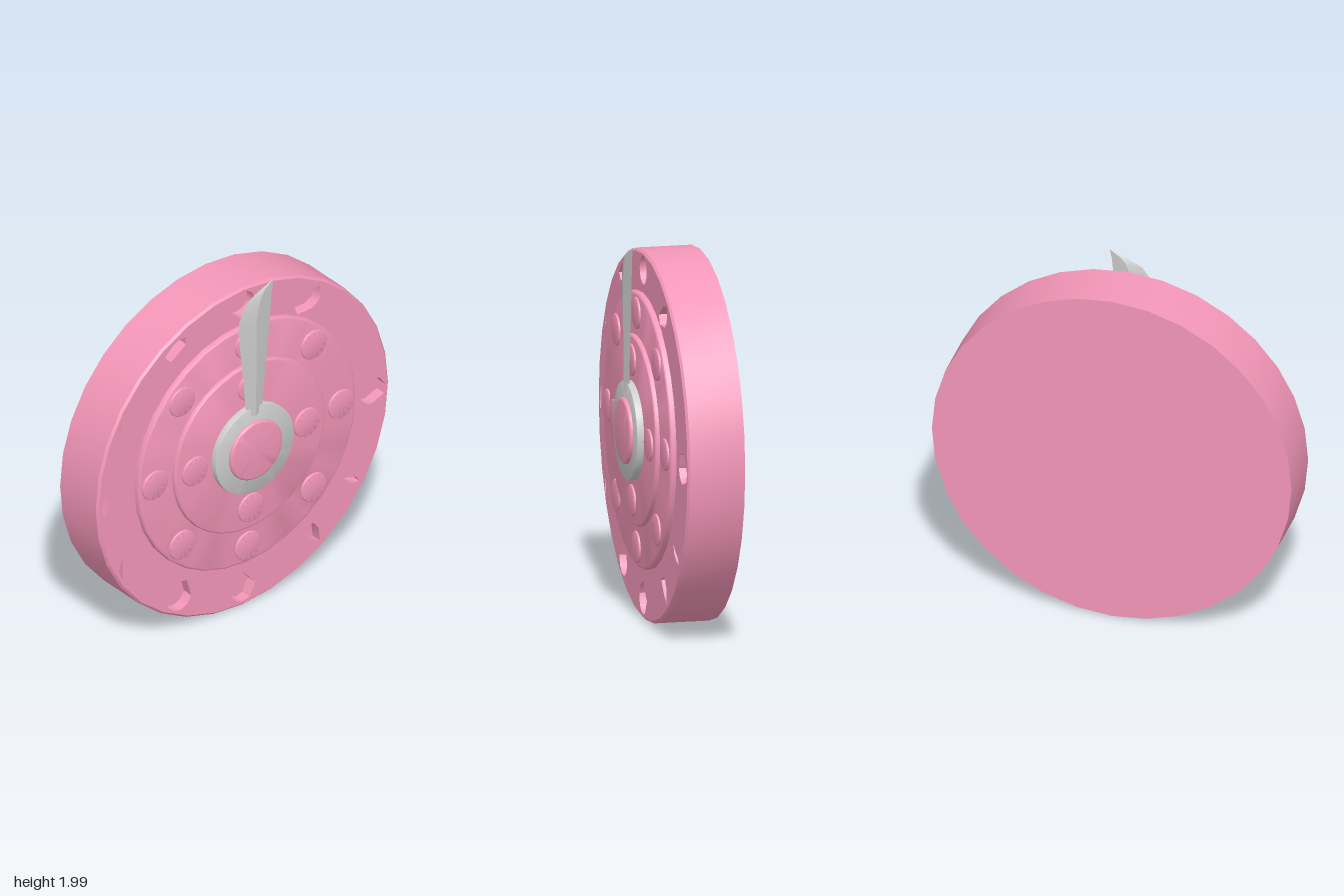
import * as THREE from 'three';
import { toCreasedNormals } from 'three/addons/utils/BufferGeometryUtils.js';

const pink = new THREE.MeshStandardMaterial({ color: 0xf396b7 });
const grey = new THREE.MeshStandardMaterial({ color: 0xcccccc });
const HUB_Y = 1.01;

function add(parent, name, geometry, material) {
  const mesh = new THREE.Mesh(geometry, material);
  mesh.name = name;
  parent.add(mesh);
  return mesh;
}

// Disc facing +z with a rounded front rim
function disc(r, back, front, bevel, segments) {
  const pts = [new THREE.Vector2(0, back), new THREE.Vector2(r, back)];
  for (let i = 0; i <= 4; i++) {
    const a = (i / 4) * Math.PI / 2;
    pts.push(new THREE.Vector2(r - bevel + bevel * Math.cos(a), front - bevel + bevel * Math.sin(a)));
  }
  pts.push(new THREE.Vector2(0, front));
  return toCreasedNormals(new THREE.LatheGeometry(pts, segments).rotateX(Math.PI / 2), 0.6);
}

function circlePoints(x, y, r, n) {
  return Array.from({ length: n }, (_, i) => {
    const a = (i / n) * Math.PI * 2;
    return new THREE.Vector2(x + r * Math.cos(a), y + r * Math.sin(a));
  });
}

// Outlines of the cut-away pits around the rim
const pits = [
  [[-.52, 1.73], [-.48, 1.69], [-.44, 1.715], [-.38, 1.76], [-.385, 1.80], [-.42, 1.805], [-.47, 1.78]],
  [[.34, 1.69], [.36, 1.64], [.46, 1.645], [.50, 1.67], [.515, 1.71], [.51, 1.76], [.44, 1.755]],
  [[.77, .97], [.79, .93], [.82, .905], [.855, .90], [.935, .93], [.945, .98], [.91, 1.03], [.855, 1.065], [.80, 1.045], [.78, .99]],
  [[.65, .545], [.67, .50], [.72, .465], [.77, .46], [.75, .49], [.70, .51]],
  [[.39, .30], [.42, .32], [.465, .325], [.50, .28], [.51, .20], [.46, .225]],
  [[0, .21], [-.06, .18], [-.085, .13], [-.07, .07], [-.04, .045], [0, .035], [.04, .045], [.08, .12]],
  [[-.515, .24], [-.50, .19], [-.46, .155], [-.41, .15], [-.37, .17], [-.345, .21], [-.375, .315], [-.43, .325], [-.48, .31]],
  [[-.825, .55], [-.815, .51], [-.80, .49], [-.80, .61], [-.815, .59]],
  [[-.94, .96], [-.92, .915], [-.90, .97], [-.885, 1.05], [-.92, 1.04]],
  [[-.827, 1.40], [-.815, 1.39], [-.81, 1.455], [-.82, 1.44]],
].map(p => p.map(([x, y]) => new THREE.Vector2(x, y)));
pits.push(circlePoints(0, 1.85, 0.075, 16));

function buildBody(group) {
  const R = 0.97, Y = 0.978, floor = 0.035, front = 0.095;
  const body = new THREE.Group();
  body.name = 'body';
  group.add(body);

  // Back, side and front bevel
  const profile = [[0, -.208], [R, -.208], [R, front - .012], [R - .012, front]]
    .map(([x, y]) => new THREE.Vector2(x, y));
  const shell = new THREE.LatheGeometry(profile, 32).rotateX(Math.PI / 2);
  add(body, 'bodyShell', toCreasedNormals(shell, 0.5), pink).position.y = Y;

  // Front plate pierced by the pits
  const plate = new THREE.Shape(circlePoints(0, Y, R - .012, 32));
  plate.holes = pits.map(p => new THREE.Path(p));
  const plateGeo = new THREE.ExtrudeGeometry(plate, { depth: front - floor, bevelEnabled: false });
  add(body, 'frontPlate', toCreasedNormals(plateGeo, 0.7), pink).position.z = floor;

  // Floor of the pits
  add(body, 'pitFloor', new THREE.CircleGeometry(R - .02, 32), pink).position.set(0, Y, floor);
}

// Flat blade with a central ridge, built from four-point cross-sections
function bladeGeometry() {
  const Z = 0.183;
  // left x, left y, right x, right y, half thickness
  const rows = [
    [-.048, 1.22, .05, 1.22, .014], [-.055, 1.27, .055, 1.27, .015], [-.08, 1.53, .083, 1.53, .018],
    [-.105, 1.76, .106, 1.78, .02], [-.10, 1.81, .11, 1.83, .02], [-.08, 1.87, .115, 1.89, .018],
    [-.045, 1.92, .12, 1.94, .014], [.01, 1.95, .126, 1.975, .008], [.13, 2, .131, 2, .001],
  ];
  const pos = [], index = [];
  for (const [lx, ly, rx, ry, t] of rows) {
    const mx = (lx + rx) / 2, my = (ly + ry) / 2;
    pos.push(lx, ly, Z, mx, my, Z + t, rx, ry, Z, mx, my, Z - t);
  }
  for (let i = 0; i < rows.length - 1; i++) {
    for (let j = 0; j < 4; j++) {
      const a = i * 4 + j, b = i * 4 + (j + 1) % 4;
      index.push(a, b, b + 4, a, b + 4, a + 4);
    }
  }
  index.push(0, 2, 1, 0, 3, 2);
  const geo = new THREE.BufferGeometry();
  geo.setAttribute('position', new THREE.Float32BufferAttribute(pos, 3));
  geo.setIndex(index);
  return toCreasedNormals(geo, 0.25);
}

export function createModel() {
  const group = new THREE.Group();
  group.name = 'dial';
  buildBody(group);

  // Two stepped discs on the face
  add(group, 'outerTier', disc(0.723, 0.08, 0.128, 0.015, 32), pink).position.y = HUB_Y;
  add(group, 'innerTier', disc(0.5, 0.11, 0.153, 0.013, 32), pink).position.y = HUB_Y;

  // Low round studs: eight on the outer tier, four on the inner
  const rings = [['outerStud', 8, 0.617, 0.11, 0.139], ['innerStud', 4, 0.371, 0.14, 0.164]];
  for (const [name, count, r, back, front] of rings) {
    const geo = disc(0.084, back, front, 0.006, 24);
    for (let i = 0; i < count; i++) {
      const a = (i / count) * Math.PI * 2;
      add(group, name, geo, pink).position.set(r * Math.cos(a), HUB_Y + r * Math.sin(a), 0);
    }
  }

  // Pointer: hub ring and blade
  const pointer = new THREE.Group();
  pointer.name = 'pointer';
  group.add(pointer);
  add(pointer, 'pointerHub', disc(0.259, 0.153, 0.19, 0.002, 40), grey).position.y = HUB_Y;
  add(pointer, 'pointerBlade', bladeGeometry(), grey);

  // Centre cap
  add(group, 'centreCap', disc(0.173, 0.17, 0.209, 0.014, 32), pink).position.y = HUB_Y;
  return group;
}
